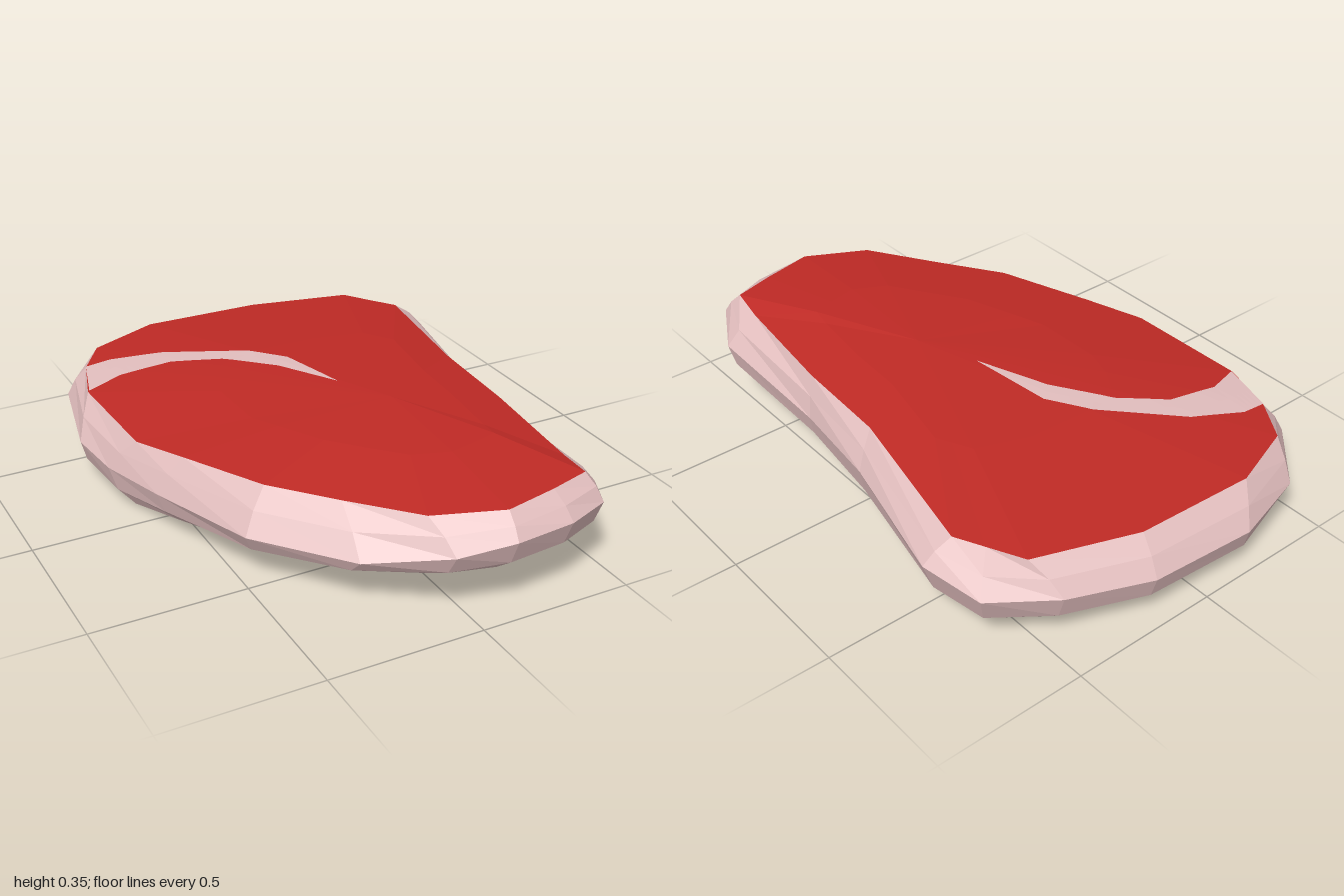
import * as THREE from 'three';

const RED = 0xbf2a25, FAT = 0xe2bebe;
const V = (x, y, z) => new THREE.Vector3(x, y, z);
// outlines are flat lists of x, z, y running clockwise from the back
const ring = (a) => Array.from({ length: a.length / 3 }, (_, i) => V(a[i * 3], a[i * 3 + 2], a[i * 3 + 1]));

const topRim = ring([
  -.24, -.90, .265, .17, -.885, .27, .51, -.78, .285, .57, -.67, .29, .62, -.58, .295, .52, -.05, .32, .50, .30, .317,
  .45, .72, .318, .43, .85, .33, .29, .89, .33, .11, .93, .33, -.10, .84, .32, -.26, .63, .305, -.41, .43, .295,
  -.54, .13, .275, -.62, -.06, .26, -.63, -.48, .255, -.57, -.67, .255, -.48, -.81, .255]);
const girth = ring([
  -.16, -1, .165, .20, -.98, .17, .47, -.89, .19, .67, -.77, .21, .71, -.56, .22, .60, -.10, .22, .55, .25, .20,
  .55, .75, .22, .46, .91, .25, .30, .98, .26, .10, 1, .26, -.07, .95, .23, -.28, .78, .18, -.50, .49, .17,
  -.62, .10, .15, -.69, -.14, .145, -.71, -.35, .145, -.63, -.71, .15, -.43, -.92, .16]);
const bottomRim = ring([
  -.20, -.92, .04, .18, -.90, .04, .45, -.80, .05, .57, -.68, .05, .59, -.55, .05, .52, -.05, .06, .49, .30, .075,
  .50, .70, .10, .42, .84, .13, .28, .89, .13, .10, .90, .127, -.08, .84, .125, -.30, .65, .11, -.42, .42, .075,
  -.55, .10, .04, -.62, -.10, .015, -.63, -.42, .01, -.57, -.65, .01, -.42, -.81, .02]);

// ring between two rings, with separate blends across and in height
const between = (a, b, t, ty, lift = 0) => a.map((p, i) => {
  const q = p.clone().lerp(b[i], t);
  q.y = p.y + (b[i].y - p.y) * ty + lift;
  return q;
});

// flat-shaded skin through rows of points, listed from lower to upper
function loft(name, rows, color, closed = true) {
  const pos = [];
  const tri = (a, b, c) => {
    if (!a.equals(b) && !b.equals(c) && !c.equals(a)) for (const p of [a, b, c]) pos.push(p.x, p.y, p.z);
  };
  for (let r = 0; r < rows.length - 1; r++) {
    const lo = rows[r], up = rows[r + 1], n = lo.length;
    for (let i = 0; i < (closed ? n : n - 1); i++) {
      const j = (i + 1) % n;
      tri(lo[i], up[i], up[j]);
      tri(lo[i], up[j], lo[j]);
    }
  }
  const geo = new THREE.BufferGeometry();
  geo.setAttribute('position', new THREE.Float32BufferAttribute(pos, 3));
  geo.computeVertexNormals();
  const mat = new THREE.MeshStandardMaterial({ color, flatShading: true, side: closed ? THREE.FrontSide : THREE.DoubleSide });
  const mesh = new THREE.Mesh(geo, mat);
  mesh.name = name;
  return mesh;
}

// tapering curved streak of fat: two edges that meet in a point
const streakBack = [[-.57, -.67], [-.48, -.67], [-.31, -.60], [-.07, -.41], [.02, -.28], [.065, 0]];
const streakFront = [[-.625, -.48], [-.50, -.52], [-.32, -.50], [-.17, -.40], [-.04, -.23], [.065, 0]];

// lay the streak on a cut face; up is 1 for the top and -1 for the underside
function streak(name, face, up, edgeY, shift) {
  const ray = new THREE.Raycaster(), steps = 5, count = (streakBack.length - 1) * steps;
  const along = (line, k) => {
    const i = Math.min(Math.floor(k / steps), line.length - 2), t = k / steps - i;
    return [0, 1].map((c) => line[i][c] + (line[i + 1][c] - line[i][c]) * t);
  };
  const rows = [0, .5, 1].map((w) => Array.from({ length: count + 1 }, (_, k) => {
    const a = along(streakBack, k), b = along(streakFront, k);
    const x = a[0] + (b[0] - a[0]) * w + shift * k / count, z = a[1] + (b[1] - a[1]) * w;
    ray.set(V(x, up, z), V(0, -up, 0));
    const hit = ray.intersectObject(face)[0];
    return V(x, (hit ? hit.point.y : edgeY) + up * .003, z);
  }));
  return loft(name, up > 0 ? rows : rows.reverse(), FAT, false);
}

export function createModel() {
  const group = new THREE.Group();
  group.name = 'steak';

  // fat rind around the edge
  group.add(loft('fatRind', [
    bottomRim, between(bottomRim, girth, .68, .4), girth, between(girth, topRim, .42, .55), topRim,
  ], FAT));

  // slightly domed cut faces
  const topCentre = topRim.map(() => V(.15, .357, .2));
  const bottomCentre = bottomRim.map(() => V(0, .008, -.15));
  const top = loft('topMeat', [topRim, between(topRim, topCentre, .45, .45, .011), topCentre], RED);
  const bottom = loft('bottomMeat', [bottomCentre, between(bottomRim, bottomCentre, .5, .5, -.007), bottomRim], RED);
  group.add(top, bottom);

  // fat streak on both faces
  group.add(streak('topFatStreak', top, 1, .255, 0));
  group.add(streak('bottomFatStreak', bottom, -1, .012, .12));
  return group;
}
